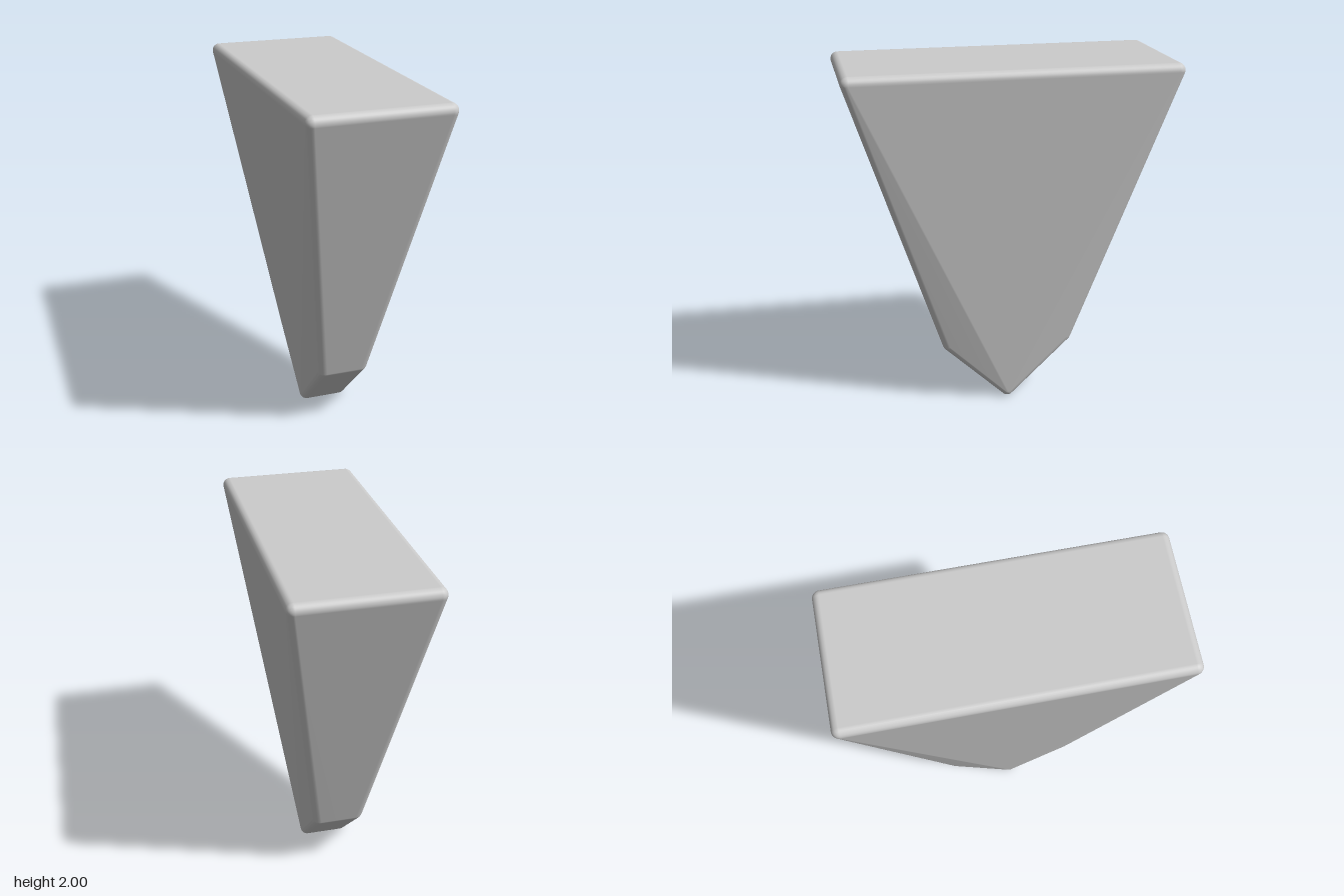
import * as THREE from 'three';
import { ConvexGeometry } from 'three/addons/geometries/ConvexGeometry.js';
import { mergeVertices } from 'three/addons/utils/BufferGeometryUtils.js';

// Rounded corners, mirrored in x and z: [half width, height, half length, radius]
const CORNERS = [
  [0.351, 1.96, 0.87, 0.04], // top
  [0.101, 0.37, 0.333, 0.05], // shoulders above the tip
  [0.101, 0.04, 0, 0.04], // tip edge
];

// Points of a small ball around one corner
function ballPoints(x, y, z, r) {
  const pos = new THREE.SphereGeometry(r, 24, 16).translate(x, y, z).attributes.position;
  return Array.from({ length: pos.count }, (_, i) => new THREE.Vector3().fromBufferAttribute(pos, i));
}

export function createModel() {
  const points = [];
  for (const [x, y, z, r] of CORNERS) {
    for (const sx of [-1, 1]) {
      for (const sz of z ? [-1, 1] : [1]) points.push(...ballPoints(sx * x, y, sz * z, r));
    }
  }

  // Skin stretched over the corner balls, then smoothed with area-weighted normals
  let geometry = new ConvexGeometry(points);
  geometry.deleteAttribute('normal');
  geometry = mergeVertices(geometry, 1e-5);
  geometry.computeVertexNormals();

  const wedge = new THREE.Mesh(geometry, new THREE.MeshStandardMaterial({ color: 0xcccccc }));
  wedge.name = 'taperedWedge';
  wedge.rotation.y = THREE.MathUtils.degToRad(9.5);

  const group = new THREE.Group();
  group.name = 'wedgeBlock';
  group.add(wedge);
  return group;
}
